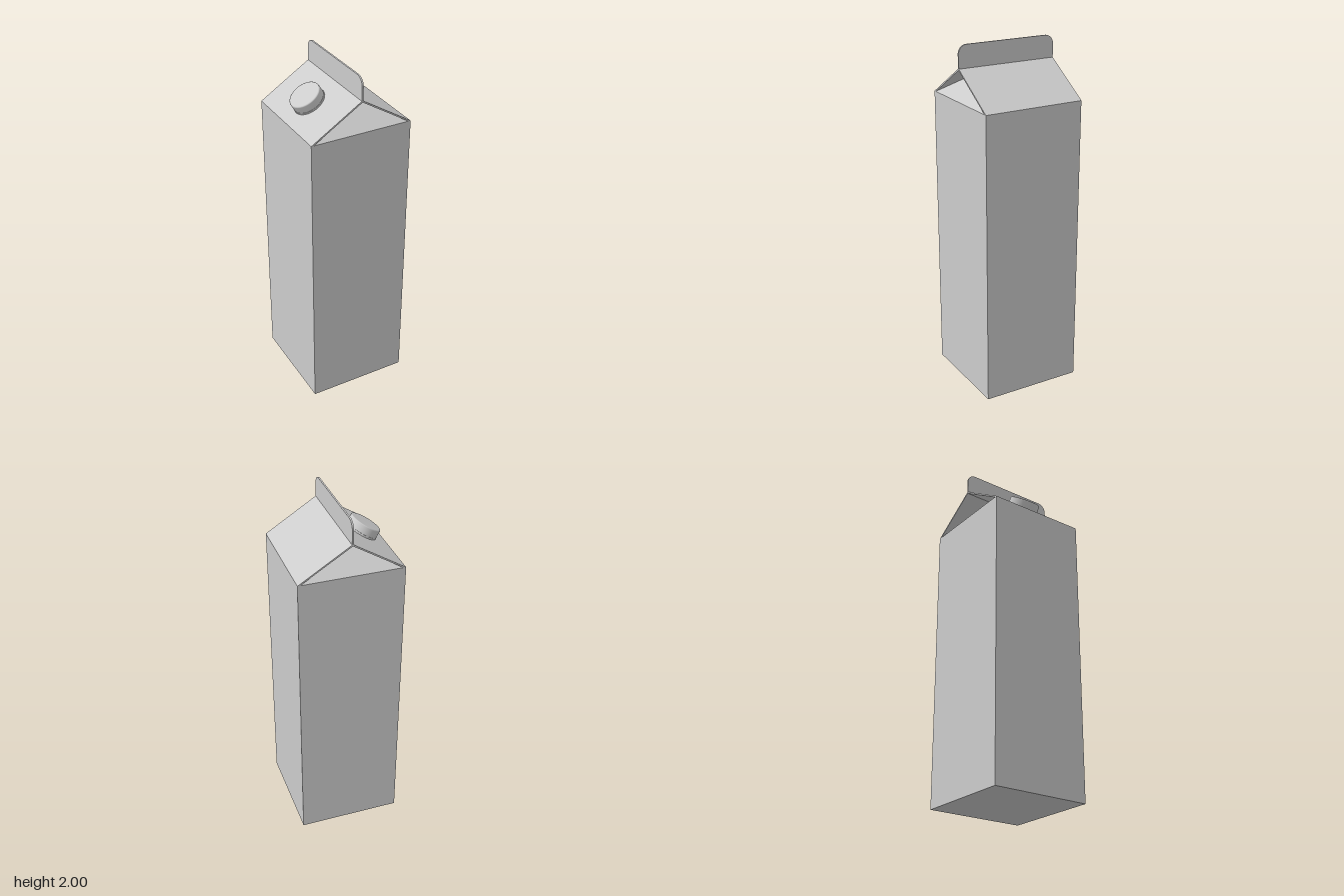
import * as THREE from 'three';

const HALF = 0.295, EAVE = 1.69, RIDGE = 1.875, TOP = 2;
const grey = new THREE.MeshStandardMaterial({ color: 0xcccccc });
const greyThin = new THREE.MeshStandardMaterial({ color: 0xcccccc, side: THREE.DoubleSide, flatShading: true });

function add(parent, name, geometry, material = grey) {
  const mesh = new THREE.Mesh(geometry, material);
  mesh.name = name;
  parent.add(mesh);
  return mesh;
}

// Extrudes a shape along z, centred on z = 0
function extrude(shape, depth) {
  const g = new THREE.ExtrudeGeometry(shape, { depth, bevelEnabled: false, curveSegments: 10 });
  return g.translate(0, 0, -depth / 2);
}

export function createModel() {
  const carton = new THREE.Group();
  carton.name = 'carton';

  // Square body
  add(carton, 'body', new THREE.BoxGeometry(HALF * 2, EAVE, HALF * 2)).position.y = EAVE / 2;

  // Thin folded roof, open at both ends
  const inner = HALF - 0.015, innerRidge = RIDGE - 0.01;
  const roof = new THREE.Shape([
    [-HALF, EAVE], [-inner, EAVE], [0, innerRidge], [inner, EAVE], [HALF, EAVE], [0, RIDGE],
  ].map(([x, y]) => new THREE.Vector2(x, y)));
  add(carton, 'roof', extrude(roof, HALF * 2));

  // Gable panels tucked in under the roof
  const recess = 0.2;
  for (const s of [1, -1]) {
    const g = new THREE.BufferGeometry();
    g.setAttribute('position', new THREE.Float32BufferAttribute([
      -inner * s, EAVE, HALF * s,
      inner * s, EAVE, HALF * s,
      0, innerRidge, (HALF - recess) * s,
    ], 3));
    g.computeVertexNormals();
    add(carton, s > 0 ? 'frontGablePanel' : 'backGablePanel', g, greyThin);
  }

  // Upright sealing fin with rounded top corners
  const r = 0.05, low = RIDGE - 0.008;
  const fin = new THREE.Shape();
  fin.moveTo(-HALF, low);
  fin.lineTo(HALF, low);
  fin.lineTo(HALF, TOP - r);
  fin.absarc(HALF - r, TOP - r, r, 0, Math.PI / 2);
  fin.lineTo(-HALF + r, TOP);
  fin.absarc(-HALF + r, TOP - r, r, Math.PI / 2, Math.PI);
  add(carton, 'sealingFin', extrude(fin, 0.009).rotateY(Math.PI / 2));

  // Screw cap standing square to the right roof slope
  const slope = Math.atan2(RIDGE - EAVE, HALF);
  const cap = new THREE.Group();
  cap.name = 'cap';
  cap.position.set(-0.151, RIDGE - 0.151 * Math.tan(slope), 0);
  cap.rotation.z = slope;
  carton.add(cap);
  add(cap, 'capFlange', new THREE.CylinderGeometry(0.092, 0.092, 0.012, 48)).position.y = 0.004;
  const profile = [[0.09, 0], [0.09, 0.05], [0.0885, 0.0545], [0.084, 0.057], [0, 0.057]]
    .map(([x, y]) => new THREE.Vector2(x, y));
  add(cap, 'capTop', new THREE.LatheGeometry(profile, 48));

  return carton;
}
